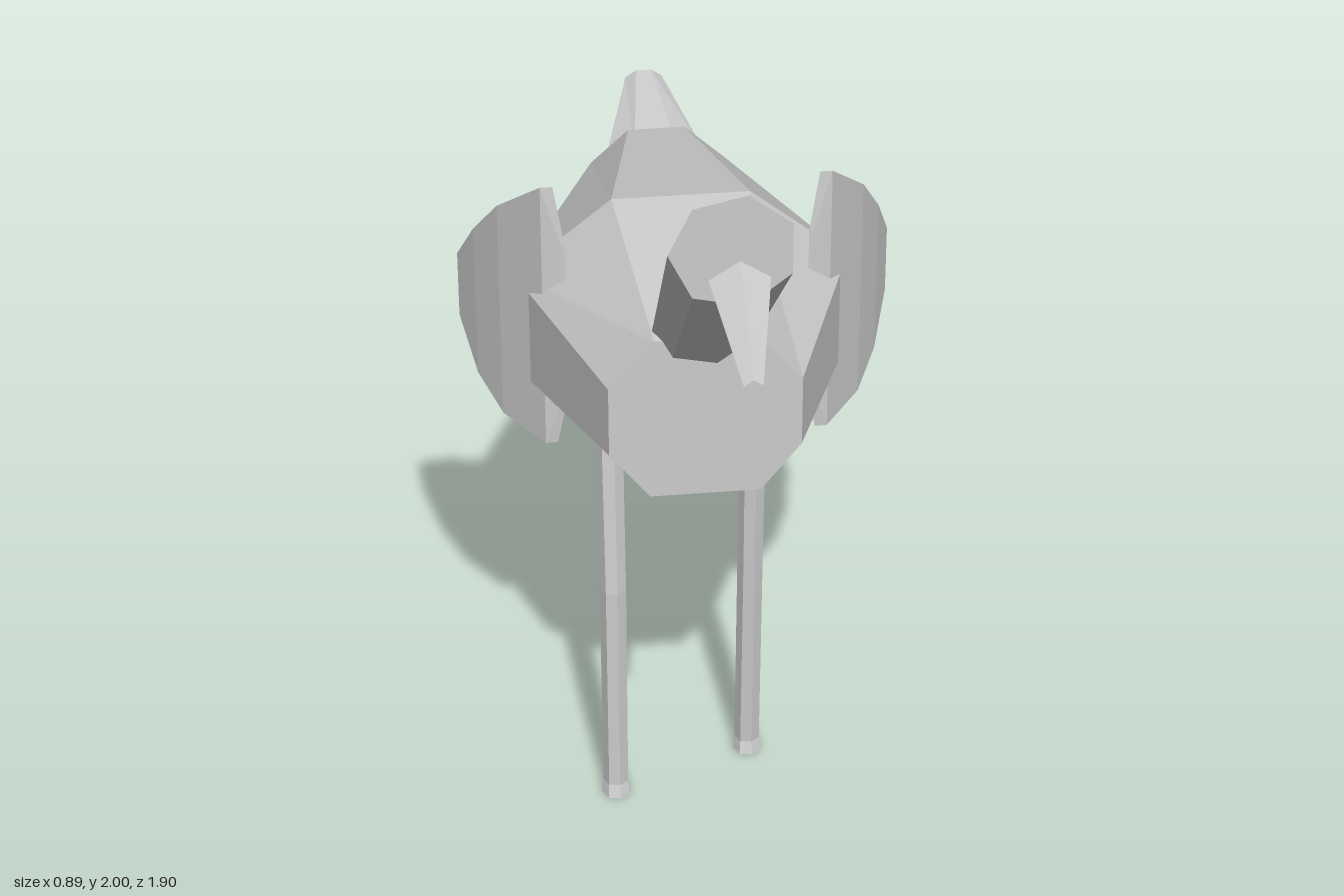
import * as THREE from 'three';

const plumage = new THREE.MeshStandardMaterial({ color: 0xcccccc, flatShading: true });
plumage.name = 'plain grey';

// Skin a series of rings (counter-clockwise seen from the first end), capped at both ends.
function loft(name, rings) {
  const pos = [];
  const tri = (a, b, c) => pos.push(...a, ...b, ...c);
  const n = rings[0].length;
  for (let r = 0; r < rings.length - 1; r++) {
    const a = rings[r], b = rings[r + 1];
    for (let i = 0; i < n; i++) {
      const j = (i + 1) % n;
      tri(a[i], b[i], b[j]);
      tri(a[i], b[j], a[j]);
    }
  }
  const first = rings[0], last = rings[rings.length - 1];
  for (let i = 1; i < n - 1; i++) {
    tri(first[0], first[i], first[i + 1]);
    tri(last[0], last[i + 1], last[i]);
  }
  const geo = new THREE.BufferGeometry();
  geo.setAttribute('position', new THREE.Float32BufferAttribute(pos, 3));
  geo.computeVertexNormals();
  const mesh = new THREE.Mesh(geo, plumage);
  mesh.name = name;
  return mesh;
}

// Elliptical ring standing upright at depth z.
function uprightRing(y, z, rx, ry, sides, start) {
  return Array.from({ length: sides }, (_, i) => {
    const t = start + (i / sides) * Math.PI * 2;
    return [rx * Math.cos(t), y + ry * Math.sin(t), z];
  });
}

// Octagonal body section: half widths and heights of its top, sides and bottom.
function bodyRing(z, topW, topY, sideW, sideHi, sideLo, botW, botY) {
  return [
    [sideW, sideLo, z], [sideW, sideHi, z], [topW, topY, z], [-topW, topY, z],
    [-sideW, sideHi, z], [-sideW, sideLo, z], [-botW, botY, z], [botW, botY, z],
  ];
}

// Thin leg following [y, z, radius] stations from top to bottom.
function leg(name, x, stations) {
  const sides = 7;
  return loft(name, stations.map(([y, z, r]) =>
    Array.from({ length: sides }, (_, i) => {
      const t = Math.PI + (i / sides) * Math.PI * 2;
      return [x + r * Math.cos(t), y, z - r * Math.sin(t)];
    })));
}

// Curved wing plate from [z, outerX, innerX, lowY, highY] stations.
function wing(name, side) {
  const stations = [
    [-0.085, 0.252, 0.244, 1.09, 1.45],
    [-0.095, 0.29, 0.265, 0.97, 1.58],
    [-0.2, 0.37, 0.345, 0.98, 1.48],
    [-0.28, 0.415, 0.398, 1.03, 1.38],
    [-0.35, 0.446, 0.436, 1.13, 1.28],
  ];
  return loft(name, stations.map(([z, out, inn, lo, hi]) => {
    const ring = [[out, lo, z], [out, hi, z], [inn, hi, z], [inn, lo, z]]
      .map(([x, y, d]) => [side * x, y, d]);
    return side > 0 ? ring : ring.reverse();
  }));
}

export function createModel() {
  const bird = new THREE.Group();
  bird.name = 'longLeggedBird';

  // Barrel body, widest in the middle
  bird.add(loft('body', [
    bodyRing(0.24, 0.1, 1.425, 0.19, 1.32, 1.165, 0.11, 1.06),
    bodyRing(-0.2, 0.14, 1.48, 0.34, 1.315, 1.09, 0.13, 0.93),
    bodyRing(-0.68, 0.06, 1.355, 0.14, 1.28, 1.18, 0.06, 1.115),
  ]));

  // Slanted neck, cut off vertically at its upper end
  bird.add(loft('neck', [
    uprightRing(1.883, 0.66, 0.118, 0.118, 7, Math.PI),
    uprightRing(1.46, 0.24, 0.102, 0.096, 7, Math.PI),
    uprightRing(1.355, 0.135, 0.1, 0.09, 7, Math.PI),
  ]));

  // Beak tapering forward and down, floating ahead of the neck
  bird.add(loft('beak', [
    uprightRing(1.787, 0.95, 0.018, 0.018, 5, Math.PI / 2),
    uprightRing(1.868, 0.75, 0.058, 0.053, 5, Math.PI / 2),
  ]));

  // Flattened tail
  bird.add(loft('tail', [
    uprightRing(1.252, -0.675, 0.122, 0.056, 8, Math.PI / 8),
    uprightRing(1.317, -0.95, 0.043, 0.03, 8, Math.PI / 8),
  ]));

  // Wings
  bird.add(wing('leftWing', 1), wing('rightWing', -1));

  // Legs: one set back, one bent forward
  bird.add(leg('leftLeg', 0.152, [
    [1.02, -0.212, 0.03], [0.55, -0.23, 0.028], [0.03, -0.257, 0.028], [0, -0.252, 0.032],
  ]));
  bird.add(leg('rightLeg', -0.152, [
    [1.02, -0.195, 0.03], [0.55, -0.145, 0.029], [0.03, -0.14, 0.028], [0, -0.134, 0.032],
  ]));

  return bird;
}
